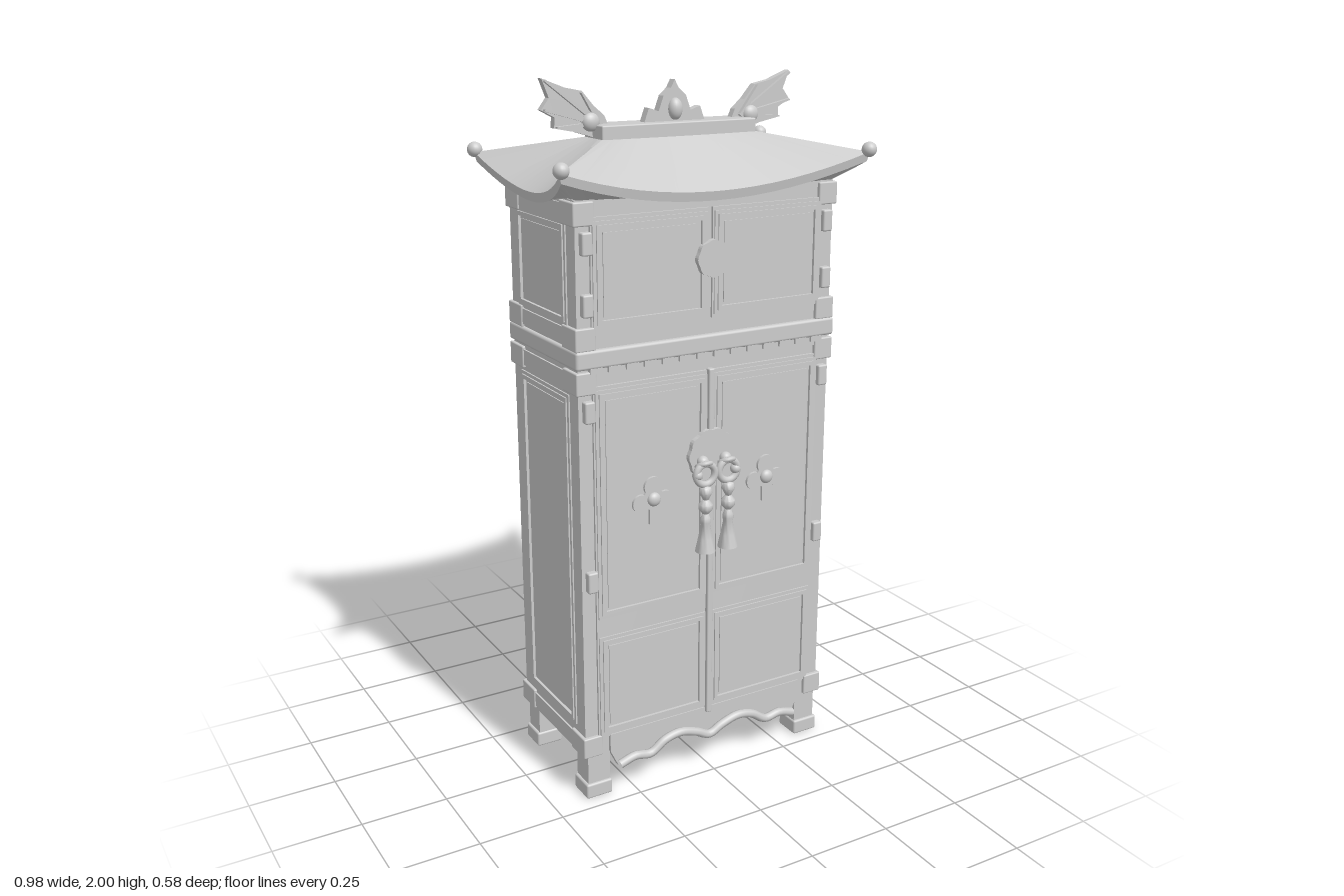
import * as THREE from 'three';
import { toCreasedNormals } from 'three/addons/utils/BufferGeometryUtils.js';
import { RoundedBoxGeometry } from 'three/addons/geometries/RoundedBoxGeometry.js';

const material = new THREE.MeshStandardMaterial({ color: 0xcccccc });
material.name = 'pale grey';
const V = (x, y, z) => new THREE.Vector3(x, y, z);
const BOTH = [-1, 1];

export function createModel() {
  const model = new THREE.Group();
  model.name = 'cabinet';

  const add = (name, geo, x = 0, y = 0, z = 0) => {
    const m = new THREE.Mesh(geo, material);
    m.name = name;
    m.position.set(x, y, z);
    model.add(m);
    return m;
  };
  // Box given by its minimum and maximum on each axis
  const block = (name, x0, x1, y0, y1, z0, z1, r = 0) => {
    const s = [x1 - x0, y1 - y0, z1 - z0];
    const geo = r ? new RoundedBoxGeometry(...s, 2, r) : new THREE.BoxGeometry(...s);
    return add(name, geo, (x0 + x1) / 2, (y0 + y1) / 2, (z0 + z1) / 2);
  };
  const plate = (name, points, depth, x, y, z) => add(name,
    new THREE.ExtrudeGeometry(new THREE.Shape(points.map(p => new THREE.Vector2(...p))),
      { depth, bevelEnabled: false }), x, y, z);
  const ball = (name, r, x, y, z, sy = 1, sz = 1) =>
    add(name, new THREE.SphereGeometry(r, 20, 14), x, y, z).scale.set(1, sy, sz);

  // Panel: stepped raised rim around a low raised field, facing +z
  const rect = (Kind, w, h) => new Kind([[-w, -h], [w, -h], [w, h], [-w, h]]
    .map(([x, y]) => new THREE.Vector2(x / 2, y / 2)));
  const panel = (name, w, h, x, y, z, turn = 0) => {
    const group = new THREE.Group();
    group.name = name;
    [[0, 0.010, 0.004], [0.01, 0.012, 0.008]].forEach(([inset, width, depth]) => {
      const shape = rect(THREE.Shape, w - 2 * inset, h - 2 * inset);
      shape.holes.push(rect(THREE.Path, w - 2 * (inset + width), h - 2 * (inset + width)));
      const rim = new THREE.Mesh(new THREE.ExtrudeGeometry(shape, { depth, bevelEnabled: false }), material);
      rim.name = 'panelRim';
      group.add(rim);
    });
    const field = new THREE.Mesh(new THREE.BoxGeometry(w - 0.06, h - 0.06, 0.006), material);
    field.name = 'panelField';
    group.add(field);
    group.position.set(x, y, z);
    group.rotation.y = turn;
    model.add(group);
  };

  // Carcass and waist moulding
  block('lowerBody', -0.4, 0.4, 0.13, 1.275, -0.2, 0.2);
  block('upperBody', -0.4, 0.4, 1.32, 1.715, -0.2, 0.2);
  block('waistMoulding', -0.41, 0.41, 1.275, 1.326, -0.212, 0.215, 0.008);
  block('dentilRail', -0.35, 0.35, 1.25, 1.277, 0.19, 0.206);
  for (let i = 0; i < 14; i++) {
    const x = (i - 6.5) * 0.054;
    block('dentil', x - 0.018, x + 0.018, 1.262, 1.278, 0.2, 0.214);
  }

  // Feet, legs and corner fittings
  for (const sx of BOTH) for (const sz of BOTH) {
    add('leg', new THREE.BoxGeometry(0.07, 0.1, 0.07), sx * 0.358, 0.085, sz * 0.165);
    add('foot', new RoundedBoxGeometry(0.082, 0.045, 0.082, 2, 0.006), sx * 0.36, 0.0225, sz * 0.167);
    for (const y of [0.165, 1.237, 1.355, 1.68]) {
      add('cornerFitting', new RoundedBoxGeometry(0.06, 0.062, 0.084, 2, 0.004), sx * 0.379, y, sz * 0.169);
    }
  }

  // Front and side doors, rails and hinges
  for (const s of BOTH) {
    block('lowerDoor', Math.min(s * 0.005, s * 0.36), Math.max(s * 0.005, s * 0.36), 0.185, 1.225, 0.19, 0.207);
    block('upperDoor', Math.min(s * 0.005, s * 0.36), Math.max(s * 0.005, s * 0.36), 1.37, 1.67, 0.19, 0.207);
    panel('upperDoorPanel', 0.345, 0.28, s * 0.1825, 1.52, 0.207);
    panel('tallDoorPanel', 0.345, 0.658, s * 0.1825, 0.886, 0.207);
    panel('lowDoorPanel', 0.345, 0.305, s * 0.1825, 0.348, 0.207);
    panel('sideTallPanel', 0.3, 0.98, s * 0.4, 0.707, 0, s * Math.PI / 2);
    panel('sideUpperPanel', 0.3, 0.275, s * 0.4, 1.52, 0, s * Math.PI / 2);
    for (const y of [0.165, 1.237, 1.355, 1.68]) {
      add('sideRail', new THREE.BoxGeometry(0.01, 0.045, 0.26), s * 0.4, y, 0);
    }
    for (const y of [0.675, 1.16, 1.445, 1.605]) {
      add('hinge', new RoundedBoxGeometry(0.03, 0.06, 0.024, 2, 0.005), s * 0.374, y, 0.209);
    }
  }
  block('doorStrip', -0.009, 0.009, 0.175, 1.23, 0.2, 0.22, 0.004);

  // Wavy apron with a moulded lower edge
  const half = [[0, 0.095], [0.045, 0.115], [0.1, 0.13], [0.15, 0.12], [0.2, 0.09], [0.25, 0.097], [0.3, 0.083]];
  const wave = new THREE.CatmullRomCurve3([...half.slice(1).reverse().map(([x, y]) => V(-x, y, 0)),
    ...half.map(([x, y]) => V(x, y, 0))]);
  plate('apron', [...wave.getPoints(48).map(p => [p.x, p.y]), [0.325, 0.135], [0.325, 0.19], [-0.325, 0.19], [-0.325, 0.135]],
    0.02, 0, 0, 0.19);
  add('apronMoulding', new THREE.TubeGeometry(wave, 60, 0.013, 8), 0, 0.008, 0.219);

  // Lock discs
  const disc = (name, r, y, lobes) => {
    const points = Array.from({ length: 64 }, (_, i) => {
      const a = i / 64 * Math.PI * 2, k = r * (1 + 0.03 * Math.cos(a * lobes));
      return [k * Math.cos(a), k * Math.sin(a)];
    });
    plate(name, points, 0.016, 0, y, 0.21);
  };
  disc('upperLockDisc', 0.05, 1.535, 8);
  disc('lowerLockDisc', 0.074, 0.985, 10);

  // Clover plates, ring pulls and tassels
  for (const s of BOTH) {
    const x = s * 0.185;
    for (const [dx, dy, r] of [[0, 0.036, 0.028], [-0.038, -0.008, 0.026], [0.038, -0.008, 0.026], [0, 0, 0.032]]) {
      add('cloverPlate', new THREE.CylinderGeometry(r, r, 0.012, 24), x + dx, 0.885 + dy, 0.212).rotation.x = Math.PI / 2;
    }
    block('cloverStem', x - 0.012, x + 0.012, 0.812, 0.87, 0.206, 0.218);
    ball('cloverStud', 0.02, x, 0.885, 0.22, 1, 0.7);

    const rx = s * 0.037;
    add('ringPull', new THREE.TorusGeometry(0.03, 0.01, 10, 28), rx, 0.94, 0.248);
    add('ringLink', new THREE.TorusGeometry(0.02, 0.007, 8, 24), rx, 0.965, 0.24).rotation.x = 1.1;
    ball('ringStud', 0.015, s * 0.062, 0.94, 0.246);
    ball('ringMount', 0.017, rx, 0.972, 0.233);
    const profile = [[0.001, 0.91], [0.015, 0.902], [0.019, 0.887], [0.011, 0.872], [0.008, 0.866], [0.02, 0.852],
      [0.02, 0.838], [0.009, 0.825], [0.014, 0.812], [0.016, 0.8], [0.013, 0.79], [0.021, 0.75], [0.029, 0.712], [0.001, 0.712]];
    add('tassel', toCreasedNormals(new THREE.LatheGeometry(
      profile.reverse().map(p => new THREE.Vector2(...p)), 20), 0.9), rx, 0, 0.25);
  }

  // Curved hipped roof: rings from the ridge down over the eaves and under to the body
  const N = 16, loop = [];
  for (let side = 0; side < 4; side++) for (let i = 0; i < N; i++) loop.push([side, i / N * 2 - 1]);
  const ring = (hx, hz, bowX, bowZ, y, lift) => loop.map(([side, t]) => {
    const c = t * t, dir = side < 2 ? 1 : -1;
    return side % 2 === 0
      ? V(dir * hx * t, y + lift * c, dir * (hz - bowZ * (1 - c)))
      : V(dir * (hx - bowX * (1 - c)), y + lift * c, -dir * hz * t);
  });
  const rings = [ring(0.24, 0.05, 0, 0, 1.842, 0), ring(0.47, 0.27, 0.04, 0.035, 1.715, 0.078),
    ring(0.465, 0.265, 0.04, 0.035, 1.69, 0.078), ring(0.385, 0.19, 0, 0, 1.708, 0)];
  const index = [], n = loop.length;
  for (let r = 0; r < 3; r++) for (let i = 0; i < n; i++) {
    const a = r * n + i, b = r * n + (i + 1) % n;
    index.push(a, a + n, b, b, a + n, b + n);
  }
  const roof = new THREE.BufferGeometry().setFromPoints(rings.flat());
  roof.setIndex(index);
  add('roof', toCreasedNormals(roof, 0.35));
  block('ridge', -0.24, 0.24, 1.835, 1.878, -0.052, 0.052, 0.004);
  for (const sx of BOTH) for (const sz of BOTH) ball('eaveBall', 0.021, sx * 0.467, 1.8, sz * 0.271);

  // Winged finials at the ridge ends
  for (const s of BOTH) {
    const flip = points => points.map(([x, y]) => [s * x, y]);
    plate('wing', flip([[0.18, 1.845], [0.205, 1.9], [0.235, 1.925], [0.27, 1.965], [0.32, 1.975], [0.385, 2],
      [0.365, 1.95], [0.388, 1.92], [0.35, 1.9], [0.352, 1.872], [0.29, 1.86], [0.24, 1.845]]), 0.022, 0, 0, -0.026);
    const root = [0.22, 1.88];
    for (const [tx, ty, w] of [[0.38, 1.995, 0.009], [0.382, 1.92, 0.008], [0.348, 1.875, 0.006], [0.275, 1.962, 0.008]]) {
      const len = Math.hypot(tx - root[0], ty - root[1]);
      const nx = -(ty - root[1]) / len * w, ny = (tx - root[0]) / len * w;
      plate('wingRib', flip([[root[0] - nx, root[1] - ny], [tx - nx * 0.3, ty - ny * 0.3],
        [tx + nx * 0.3, ty + ny * 0.3], [root[0] + nx, root[1] + ny]]), 0.014, 0, 0, -0.006);
    }
    ball('wingBoss', 0.025, s * 0.25, 1.885, 0.004, 1, 0.7);
  }

  // Central crest with its bead
  const crest = [[0.095, 1.875], [0.08, 1.915], [0.05, 1.905], [0.035, 1.945], [0.012, 1.965]];
  plate('crest', [...crest, [0, 1.987], ...crest.map(([x, y]) => [-x, y]).reverse()], 0.026, 0, 0, -0.011);
  ball('crestBead', 0.021, 0, 1.91, 0.017, 1.4, 0.9);

  return model;
}
